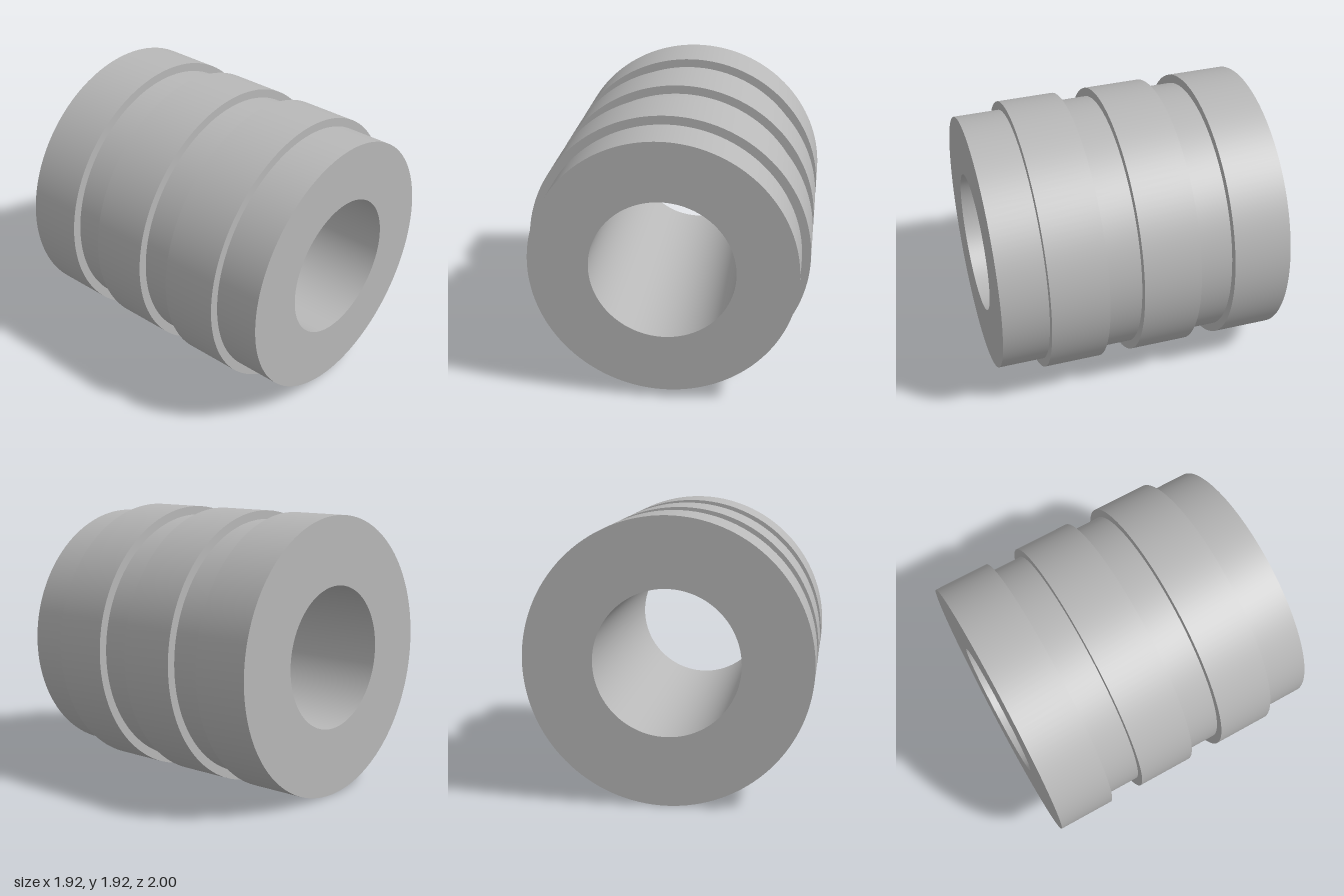
import * as THREE from 'three';
import { toCreasedNormals } from 'three/addons/utils/BufferGeometryUtils.js';

const BORE = 0.49, GROOVE = 0.9, BAND = 0.96;

export function createModel() {
  const group = new THREE.Group();
  group.name = 'groovedBushing';
  const steel = new THREE.MeshStandardMaterial({ color: 0xb8b8b8 });
  steel.name = 'plain grey';

  // Outer steps from back to front: [start z, end z, radius]
  const steps = [
    [-1, -0.6, BAND], [-0.6, -0.36, GROOVE],
    [-0.36, 0.04, BAND], [0.04, 0.28, GROOVE],
    [0.28, 0.68, BAND], [0.68, 1, GROOVE],
  ];

  // Closed section: back face, stepped outside, front face, bore
  const profile = [new THREE.Vector2(BORE, -1)];
  for (const [z0, z1, r] of steps) {
    profile.push(new THREE.Vector2(r, z0), new THREE.Vector2(r, z1));
  }
  profile.push(new THREE.Vector2(BORE, 1), new THREE.Vector2(BORE, -1));

  // Turn about the z axis and rest the bands on the ground
  const geometry = new THREE.LatheGeometry(profile, 128);
  geometry.rotateX(Math.PI / 2);
  geometry.translate(0, BAND, 0);

  const body = new THREE.Mesh(toCreasedNormals(geometry, Math.PI / 6), steel);
  body.name = 'steppedSleeve';
  group.add(body);
  return group;
}
